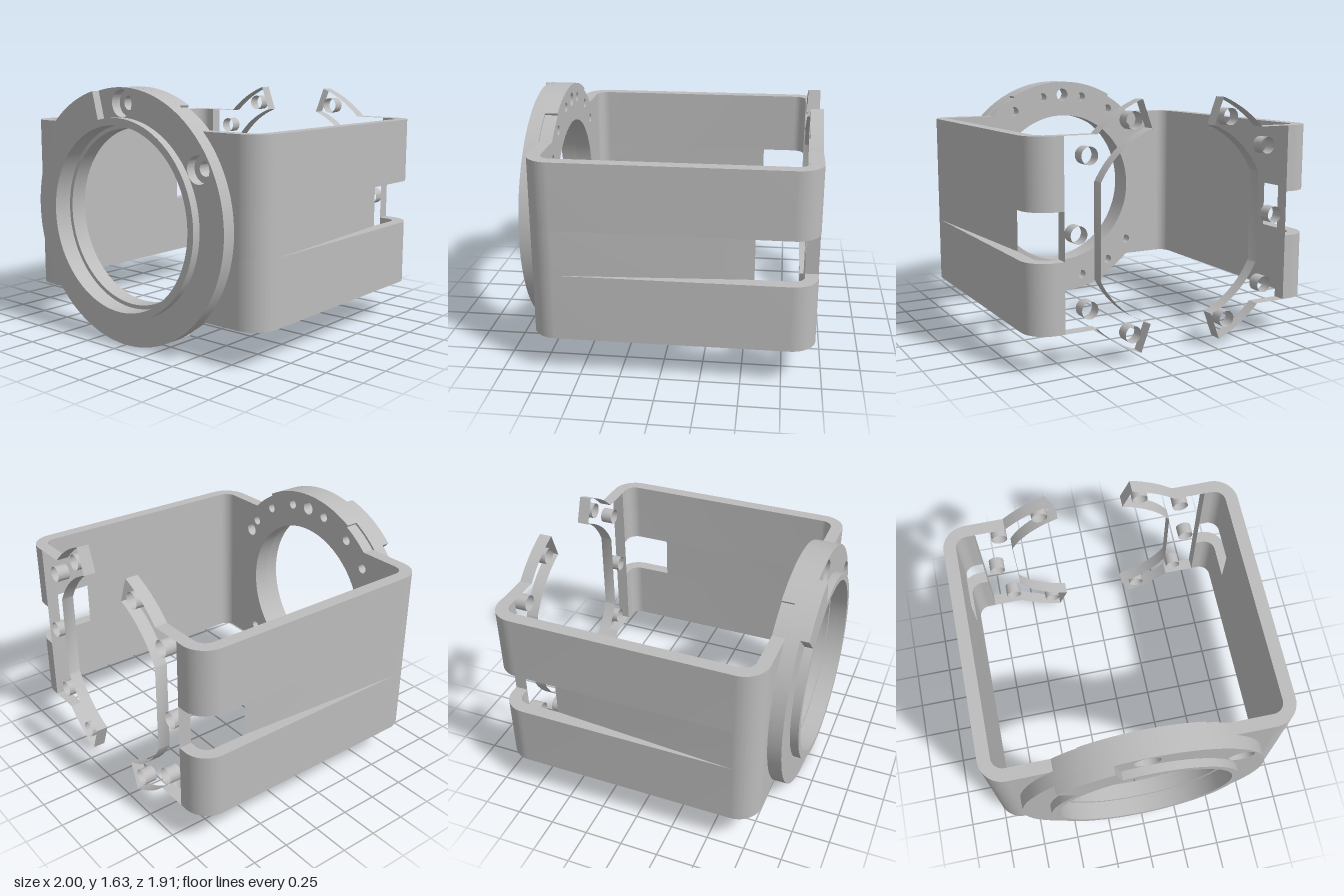
import * as THREE from 'three';
import { toCreasedNormals } from 'three/addons/utils/BufferGeometryUtils.js';

const R = 0.813, BORE = 0.56, RIM_IN = 0.585, RIM = 0.63, PITCH = 0.716;
const HALF_H = 0.57, SLOT = 0.145, Z_BACK = -0.955, Z_FRONT = 0.81, T = 0.083;
const rad = THREE.MathUtils.degToRad;

const steel = new THREE.MeshStandardMaterial({ color: 0xbcbcbc, side: THREE.DoubleSide });
steel.name = 'grey steel';

const circle = (x, y, r) => new THREE.Path().absarc(x, y, r, 0, Math.PI * 2, false);
const polar = (deg, r = PITCH) => [r * Math.cos(rad(deg)), r * Math.sin(rad(deg))];

function mesh(name, geometry) {
  const m = new THREE.Mesh(toCreasedNormals(geometry, 0.5), steel);
  m.name = name;
  return m;
}

// Plate lying in the xy plane between two depths
function plate(name, shape, z0, z1, holes = []) {
  shape.holes.push(...holes);
  const g = new THREE.ExtrudeGeometry(shape, { depth: z1 - z0, bevelEnabled: false, curveSegments: 64 });
  return mesh(name, g.translate(0, 0, z0));
}

const disc = (r) => new THREE.Shape().absarc(0, 0, r, 0, Math.PI * 2, false);

// Front of the bracket: rectangle merged with a disc whose top and bottom step outwards
function frontPlateShape() {
  const s = new THREE.Shape(), r = R - 0.015;
  const a = Math.asin(HALF_H / r), b = rad(61), pi = Math.PI;
  s.moveTo(0.79, -HALF_H).lineTo(0.79, HALF_H);
  s.absarc(0, 0, r, a, b, false).absarc(0, 0, R, b, pi - b, false).absarc(0, 0, r, pi - b, pi - a, false);
  s.lineTo(-0.79, HALF_H).lineTo(-0.79, -HALF_H);
  s.absarc(0, 0, r, pi + a, pi + b, false).absarc(0, 0, R, pi + b, 2 * pi - b, false);
  s.absarc(0, 0, r, 2 * pi - b, 2 * pi - a, false);
  return s;
}

// Side wall section in x and z, bent round at the front and the back
function wallShape() {
  const s = new THREE.Shape(), o = 0.16, i = o - T, c = 1 - o, e = 0.79;
  s.moveTo(e, Z_BACK).lineTo(c, Z_BACK);
  s.absarc(c, Z_BACK + o, o, -Math.PI / 2, 0, false);
  s.absarc(c, Z_FRONT - o, o, 0, Math.PI / 2, false);
  s.lineTo(e, Z_FRONT).lineTo(e, Z_FRONT - T);
  s.absarc(c, Z_FRONT - o, i, Math.PI / 2, 0, true);
  s.absarc(c, Z_BACK + o, i, 0, -Math.PI / 2, true);
  s.lineTo(e, Z_BACK + T);
  return s;
}

// Same wall, cut short where the slot opens to the back
function slottedWallShape() {
  const s = new THREE.Shape(), o = 0.16, c = 1 - o;
  s.moveTo(1, -0.57);
  s.absarc(c, Z_FRONT - o, o, 0, Math.PI / 2, false);
  s.lineTo(0.79, Z_FRONT).lineTo(0.79, Z_FRONT - T);
  s.absarc(c, Z_FRONT - o, o - T, Math.PI / 2, 0, true);
  s.lineTo(1 - T, -0.57);
  return s;
}

function wallBand(name, shape, y0, y1) {
  const g = new THREE.ExtrudeGeometry(shape, { depth: y1 - y0, bevelEnabled: false, curveSegments: 16 });
  return mesh(name, g.rotateX(Math.PI / 2).translate(0, y1, 0));
}

// Back flange edges and bolt sleeves: an open frame without flat faces
function flangeFrame() {
  const s = new THREE.Shape(), outer = Math.asin(HALF_H / R), tip = rad(69.5);
  const flat = Math.acos(0.56 / RIM);
  s.moveTo(0.79, -HALF_H).lineTo(0.79, HALF_H);
  s.absarc(0, 0, R, outer, tip, false);
  s.absarc(0, 0, RIM, tip, flat, true);
  s.absarc(0, 0, RIM, -flat, -tip, true);
  s.absarc(0, 0, R, -tip, -outer, false);
  for (const [x, y] of [[0.34, 0.64], [0.63, 0.45], [0.7, 0], [0.63, -0.45], [0.34, -0.64]]) {
    s.holes.push(circle(x, y, 0.053));
  }
  const g = new THREE.ExtrudeGeometry(s, { depth: T, bevelEnabled: false, curveSegments: 20 });
  // Keep only the edge walls
  const { start, count } = g.groups[1];
  const edges = new THREE.BufferGeometry();
  const p = g.attributes.position.array.slice(start * 3, (start + count) * 3);
  edges.setAttribute('position', new THREE.BufferAttribute(p, 3));
  edges.computeVertexNormals();
  return mesh('backFlangeFrame', edges.translate(0, 0, Z_BACK));
}

export function createModel() {
  const model = new THREE.Group();
  model.name = 'ringBracket';
  const body = new THREE.Group();
  body.name = 'bracketBody';
  body.position.y = R;
  model.add(body);

  // Front plate with bore, screw holes and blind holes on its back
  const screws = [polar(90), polar(30)];
  const screwHoles = (r) => screws.map(([x, y]) => circle(x, y, r));
  const blind = [];
  for (const a of [39, 57, 77]) {
    for (const deg of [a, 180 - a, 180 + a, -a]) blind.push(circle(...polar(deg), 0.032));
  }
  body.add(plate('frontPlate', frontPlateShape(), Z_FRONT - T, Z_FRONT,
    [circle(0, 0, BORE), ...screwHoles(0.045), ...blind]));

  // Ring: inner lip, counterbored face, raised rim
  body.add(plate('ringLip', disc(R), Z_FRONT, 0.835, [circle(0, 0, BORE), ...screwHoles(0.045)]));
  body.add(plate('ringFace', disc(R), 0.835, 0.9, [circle(0, 0, RIM_IN), ...screwHoles(0.085)]));
  body.add(plate('raisedRim', disc(RIM), 0.9, 0.955, [circle(0, 0, RIM_IN)]));

  // Raised pad on the upper part of the ring
  const pad = new THREE.Shape();
  pad.absarc(0, 0, R - 0.002, rad(104.5), rad(134.3), false);
  pad.absarc(0, 0, RIM - 0.004, rad(134.3), rad(104.5), true);
  body.add(plate('raisedPad', pad, 0.9, 0.955));

  // Side walls and back flanges, mirrored
  for (const side of [1, -1]) {
    const half = new THREE.Group();
    half.name = side > 0 ? 'leftSide' : 'rightSide';
    half.scale.x = side;
    half.add(wallBand('upperWall', wallShape(), SLOT, HALF_H));
    half.add(wallBand('slottedWall', slottedWallShape(), -SLOT, SLOT));
    half.add(wallBand('lowerWall', wallShape(), -HALF_H, -SLOT));
    half.add(flangeFrame());
    body.add(half);
  }
  return model;
}
